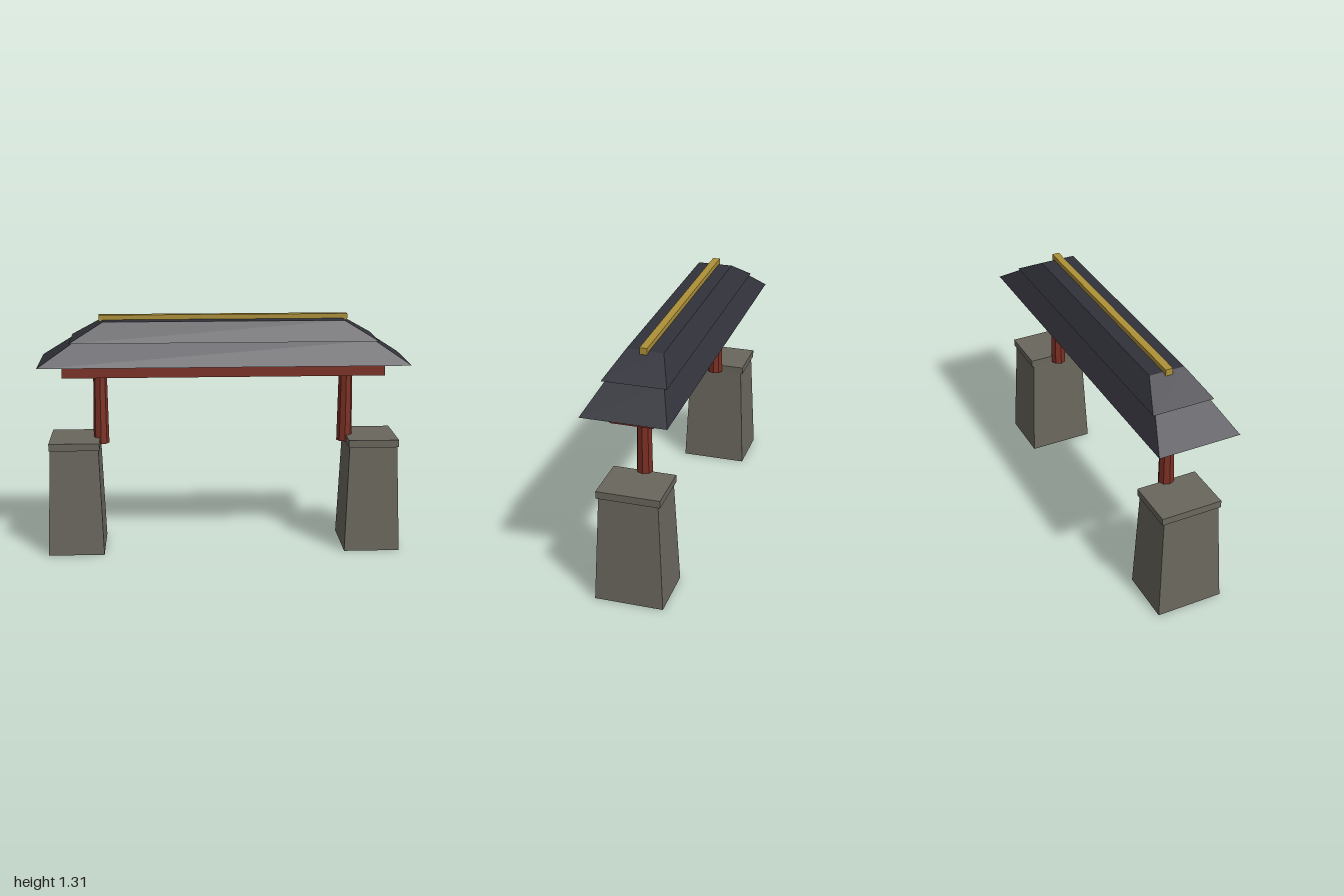
import * as THREE from 'three';

const material = (name, color) => {
  const m = new THREE.MeshStandardMaterial({ color });
  m.name = name;
  return m;
};

// Box with a different width and depth at its top, standing on y = 0
function taperedBox(w, d, topW, topD, h) {
  const geo = new THREE.BoxGeometry(w, h, d).translate(0, h / 2, 0);
  const p = geo.attributes.position;
  for (let i = 0; i < p.count; i++) {
    if (p.getY(i) > h / 2) p.setXYZ(i, p.getX(i) * topW / w, h, p.getZ(i) * topD / d);
  }
  geo.computeVertexNormals();
  return geo;
}

export function createModel() {
  const stone = material('stone', 0x6a675d);
  const red = material('red timber', 0x7c3024);
  const tile = material('dark roof tile', 0x32323b);
  const gold = material('gold', 0xae9138);
  const dark = material('dark sign frame', 0x2a2612);

  const model = new THREE.Group();
  model.name = 'gate';
  const add = (name, geo, mat, x = 0, y = 0, z = 0, parent = model) => {
    const mesh = new THREE.Mesh(geo, mat);
    mesh.name = name;
    mesh.position.set(x, y, z);
    parent.add(mesh);
    return mesh;
  };

  // Stone piers with caps, and the octagonal posts
  const pier = taperedBox(0.306, 0.366, 0.262, 0.312, 0.59);
  const cap = new THREE.BoxGeometry(0.274, 0.04, 0.336);
  const post = new THREE.CylinderGeometry(0.037, 0.043, 0.4, 8).toNonIndexed();
  post.computeVertexNormals();
  for (const [side, s] of [['left', 1], ['right', -1]]) {
    add(side + 'Pier', pier, stone, s * 0.817, 0, 0);
    add(side + 'PierCap', cap, stone, s * 0.817, 0.608, 0);
    add(side + 'Post', post, red, s * 0.675, 0.793, 0);
  }

  // Lintel
  add('lintel', new THREE.BoxGeometry(1.75, 0.09, 0.224), red, 0, 1.023, 0);

  // Two-tier hipped roof and ridge
  add('lowerRoof', taperedBox(2, 0.444, 1.62, 0.296, 0.125), tile, 0, 1.052, 0);
  add('upperRoof', taperedBox(1.66, 0.336, 1.3, 0.194, 0.105), tile, 0, 1.175, 0);
  add('ridge', new THREE.BoxGeometry(1.35, 0.035, 0.04), gold, 0, 1.288, 0);

  // Sign board on the back, leaning out at the top
  const sign = new THREE.Group();
  sign.name = 'sign';
  sign.position.set(0, 1.03, -0.122);
  sign.rotation.x = -0.04;
  model.add(sign);
  add('signFrame', new THREE.BoxGeometry(0.362, 0.126, 0.034), dark, 0, 0, 0, sign);
  add('signPanel', new THREE.BoxGeometry(0.32, 0.09, 0.004), gold, 0, 0, -0.018, sign);

  return model;
}
